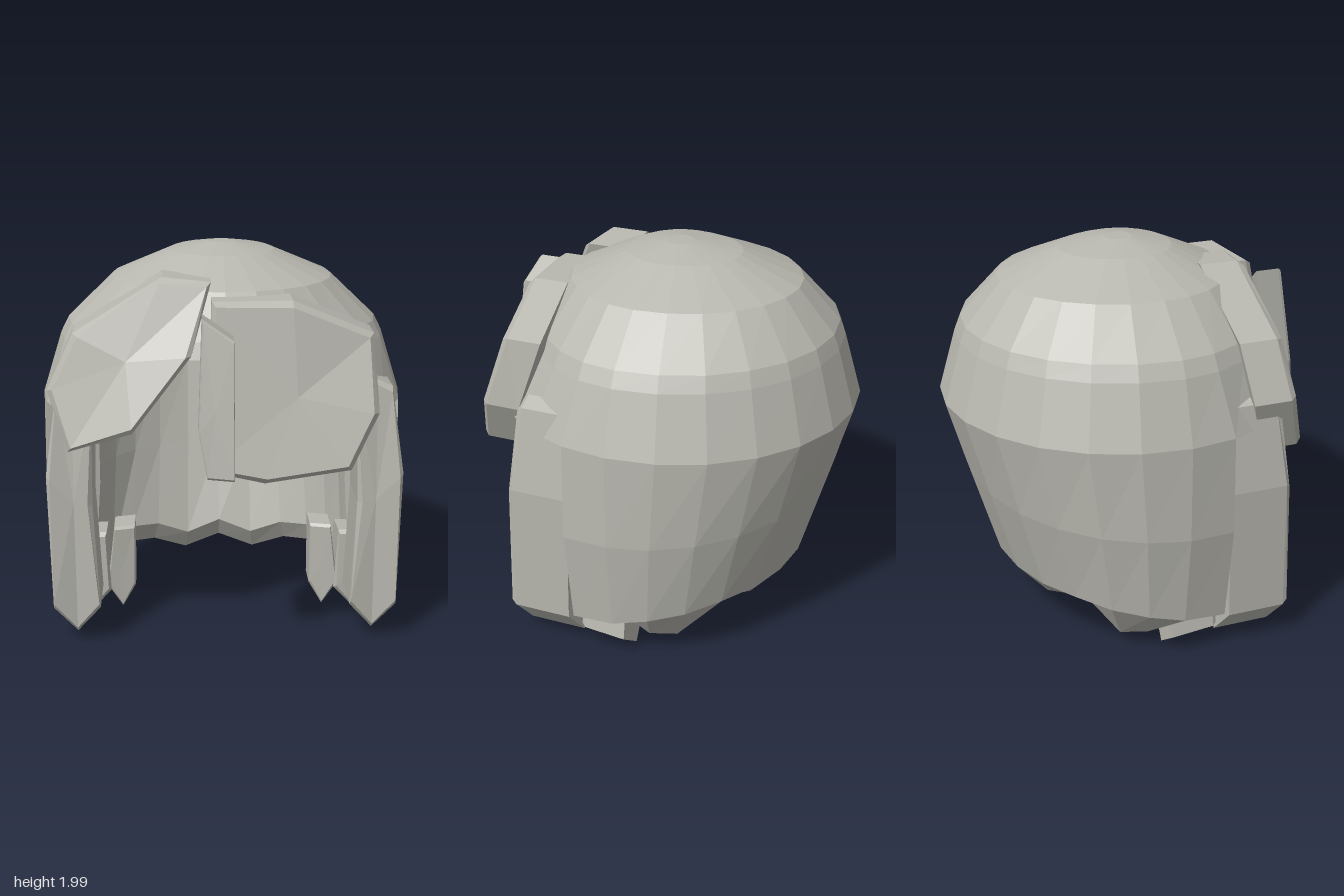
import * as THREE from 'three';

const hair = new THREE.MeshStandardMaterial({ color: 0xb8b7af });
hair.name = 'hair grey';
hair.side = THREE.DoubleSide;

// Flat-shaded mesh from a list of triangle corners
function facetMesh(name, tris) {
  const g = new THREE.BufferGeometry().setFromPoints(tris);
  g.computeVertexNormals();
  const m = new THREE.Mesh(g, hair);
  m.name = name;
  return m;
}

// Chunky lock: front outline [x, y, z], pushed back by depth, with a bevelled front edge
function lock(name, outline, depth, bevel = 0.03, backShift = [0, 0]) {
  const front = outline.map(p => new THREE.Vector3(...p));
  if (THREE.ShapeUtils.area(front) < 0) front.reverse();
  const n = front.length;
  const mid = front.reduce((s, p) => s.add(p), new THREE.Vector3()).divideScalar(n);
  const inset = front.map(p => p.clone().add(mid.clone().sub(p).setLength(bevel)));
  const rim = front.map(p => p.clone().setZ(p.z - bevel));
  const back = front.map(p => new THREE.Vector3(p.x + backShift[0], p.y + backShift[1], p.z - depth));
  const backMid = mid.clone().add(new THREE.Vector3(backShift[0], backShift[1], -depth));
  const tris = [];
  for (let i = 0; i < n; i++) {
    const j = (i + 1) % n;
    tris.push(mid, inset[i], inset[j], backMid, back[j], back[i]);
    for (const [a, b] of [[back, rim], [rim, inset]]) {
      tris.push(a[i], a[j], b[j], a[i], b[j], b[i]);
    }
  }
  return facetMesh(name, tris);
}

// Thick shell of hair, open at the face, with a jagged lower hem
function cap() {
  // Rows: y, half width, reach to the back, reach to the front
  const rows = [
    [2.0, 0, 0, 0], [2.0, 0.07, 0.09, 0.05], [1.96, 0.27, 0.34, 0.25], [1.83, 0.57, 0.65, 0.54],
    [1.61, 0.8, 0.84, 0.68], [1.53, 0.84, 0.87, 0.71],
    [1.21, 0.94, 0.96, 0.93], [0.75, 0.945, 0.84, 0.95], [0.33, 0.89, 0.7, 0.9],
    [0.2, 0.75, 0.52, 0.75],
    [0.31, 0.7, 0.45, 0.72], [0.75, 0.67, 0.58, 0.7], [1.21, 0.67, 0.69, 0.7],
    [1.53, 0.62, 0.64, 0.52], [1.75, 0.45, 0.48, 0.38], [1.9, 0.15, 0.17, 0.12], [1.92, 0, 0, 0],
  ];
  const BROW = 5, TEMPLE = 6, HEM = 9, SIDE = 7, FRONT = 9;
  const inner = r => 2 * HEM - r; // inside row opposite an outside row
  const hem = [0.2, 0.13, 0.2, 0.21, 0.08, 0.1, 0.2, 0.2];
  const edge = [0.33, 0.33, 0.33, 0.33, 0.3, 0.27, 0.23, 0.2];
  const point = (k, r) => {
    const a = k * Math.PI / 12, c = Math.cos(a);
    const [y0, w, b, f] = rows[r];
    const i = Math.min(Math.abs(k), SIDE);
    let y = y0;
    if (r === HEM - 2) y = 0.8 - 0.1 * i / SIDE;
    if (r === HEM - 1) y = edge[i];
    if (r === HEM) y = hem[i];
    if (r === HEM + 1) y = hem[i] + 0.11;
    return new THREE.Vector3(w * Math.sin(a), y, -c * (c > 0 ? b : f));
  };
  const tris = [];
  const quad = (a, b, c, d) => tris.push(a, b, c, a, c, d);
  for (let k = -12; k < 12; k++) {
    // Full length round the back, to the temple at the sides, to the brow in front
    const turn = Math.abs(k + 0.5);
    const last = turn < SIDE ? HEM : turn < FRONT ? TEMPLE : BROW;
    for (let r = 0; r < rows.length - 1; r++) {
      if (r > last && r < inner(last)) continue;
      const next = r === last && last < HEM ? inner(last) : r + 1;
      quad(point(k, r), point(k + 1, r), point(k + 1, next), point(k, next));
    }
  }
  // Upright edges beside the face
  for (const s of [1, -1]) {
    for (let r = BROW; r < HEM; r++) {
      const k = s * (r < TEMPLE ? FRONT : SIDE), q = inner(r);
      const c = [point(k, q), point(k, q - 1), point(k, r + 1), point(k, r)];
      quad(...(s > 0 ? c : c.reverse()));
    }
  }
  return facetMesh('hairCap', tris);
}

export function createModel() {
  const model = new THREE.Group();
  model.name = 'hair';
  model.add(cap());

  // Fringe
  model.add(lock('rightFringe', [
    [-0.88, 1.35, 0.58], [-0.75, 1.63, 0.55], [-0.31, 1.9, 0.53], [-0.07, 1.88, 0.56],
    [-0.17, 1.55, 0.73], [-0.46, 1.18, 0.78], [-0.78, 1.06, 0.67],
  ], 0.23));
  model.add(lock('leftFringe', [
    [-0.07, 1.81, 0.7], [0.32, 1.81, 0.68], [0.72, 1.64, 0.64], [0.74, 1.27, 0.77],
    [0.6, 1.01, 0.85], [0.18, 0.95, 0.86], [-0.1, 1.01, 0.85],
  ], 0.21));
  model.add(lock('centreStrand', [
    [-0.12, 1.76, 0.85], [0.03, 1.66, 0.88], [0.03, 1.0, 0.97], [-0.1, 1.01, 0.96], [-0.14, 1.23, 0.93],
  ], 0.14, 0.012));

  // Mirrored locks framing the face
  for (const [side, s] of [['left', 1], ['right', -1]]) {
    const add = (name, pts, depth, bevel, shift = [0, 0]) =>
      model.add(lock(side + name, pts.map(([x, y, z]) => [s * x, y, z]), depth, bevel, [s * shift[0], shift[1]]));
    add('SideLock', [
      [0.66, 1.3, 0.54], [0.76, 1.38, 0.51], [0.84, 1.34, 0.51], [0.9, 0.9, 0.56], [0.88, 0.2, 0.58],
      [0.76, 0.06, 0.55], [0.64, 0.2, 0.58], [0.67, 0.75, 0.56],
    ], 0.33, 0.025);
    add('LowerTip', [
      [0.62, 0.47, 0.2], [0.78, 0.47, 0.2], [0.84, 0.13, 0.2], [0.7, 0.03, 0.19], [0.6, 0.14, 0.2],
    ], 0.24, 0.02, [0, -0.02]);
    add('InnerLock', [
      [0.47, 0.49, 0.14], [0.58, 0.49, 0.17], [0.62, 0.16, 0.17], [0.54, 0.03, 0.15], [0.47, 0.15, 0.14],
    ], 0.18, 0.015);
  }
  return model;
}
